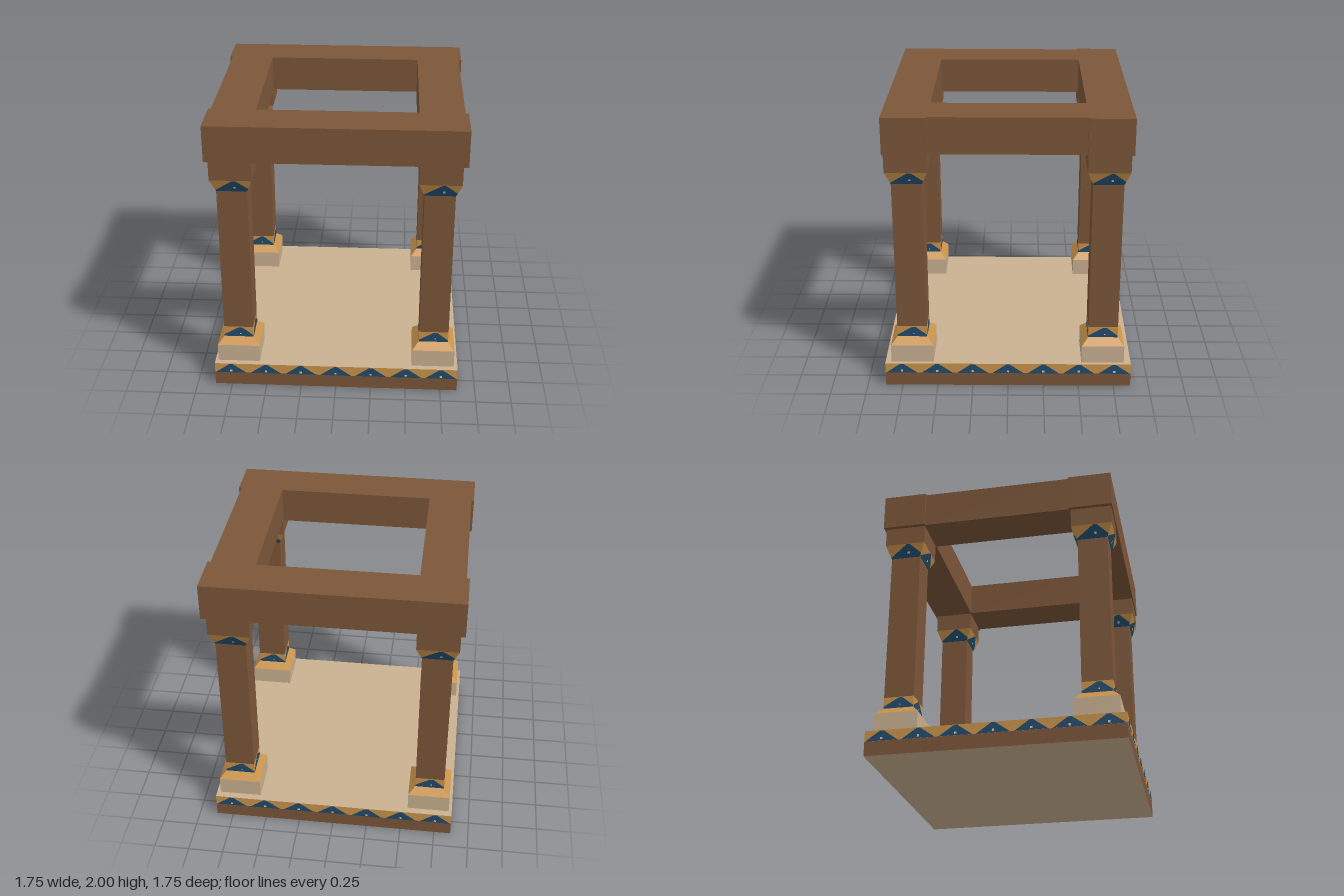
import * as THREE from 'three';

const mat = (name, color) => {
  const m = new THREE.MeshStandardMaterial({ color });
  m.name = name;
  return m;
};

export function createModel() {
  const wood = mat('brown wood', 0x7c5639);
  const stone = mat('tan stone', 0xcab191);
  const ochre = mat('ochre paint', 0xcb944a);
  const navy = mat('navy paint', 0x224b6d);
  const cream = mat('cream dots', 0xd9c9a4);

  const model = new THREE.Group();
  model.name = 'pavilion';

  const add = (parent, name, geo, material) => {
    const mesh = new THREE.Mesh(geo, material);
    mesh.name = name;
    parent.add(mesh);
    return mesh;
  };

  // Box given by its lower and upper corners
  const box = (parent, name, [x0, y0, z0], [x1, y1, z1], material) => {
    const mesh = add(parent, name, new THREE.BoxGeometry(x1 - x0, y1 - y0, z1 - z0), material);
    mesh.position.set((x0 + x1) / 2, (y0 + y1) / 2, (z0 + z1) / 2);
    return mesh;
  };

  // Square block whose half width goes from h0 at y0 to h1 at y1
  const block = (parent, name, h0, y0, h1, y1, material) => {
    const geo = new THREE.CylinderGeometry(h1 * Math.SQRT2, h0 * Math.SQRT2, y1 - y0, 4)
      .rotateY(Math.PI / 4).toNonIndexed();
    geo.computeVertexNormals();
    add(parent, name, geo, material).position.y = (y0 + y1) / 2;
  };

  // Flat painted shape laid on all four sides, following the side's slope
  const paint = (parent, name, points, depthAt, lift, material) => {
    const shape = new THREE.Shape(points.map(([x, y]) => new THREE.Vector2(x, y)));
    const geo = new THREE.ShapeGeometry(shape);
    const p = geo.attributes.position;
    for (let i = 0; i < p.count; i++) p.setZ(i, depthAt(p.getY(i)) + lift);
    geo.computeVertexNormals();
    for (let k = 0; k < 4; k++) add(parent, name, geo, material).rotation.y = k * Math.PI / 2;
  };
  const dot = (x, y, r) => [[x - r, y - r], [x + r, y - r], [x + r, y + r], [x - r, y + r]];

  // Platform: wooden slab, painted frieze, stone floor and underside
  const platform = new THREE.Group();
  platform.name = 'platform';
  model.add(platform);
  const half = 0.87;
  box(platform, 'baseSlab', [-half, 0, -half], [half, 0.1, half], [wood, wood, wood, stone, wood, wood]);
  box(platform, 'frieze', [-half, 0.1, -half], [half, 0.175, half], [ochre, ochre, stone, stone, ochre, ochre]);
  for (let i = -3; i <= 3; i++) {
    const x = i * 0.251;
    paint(platform, 'friezeTriangle',
      [[x - 0.112, 0.1], [x + 0.112, 0.1], [x + 0.012, 0.172], [x - 0.012, 0.172]], () => half, 0.002, navy);
    paint(platform, 'friezeDot', dot(x, 0.117, 0.008), () => half, 0.004, cream);
  }

  // Four columns
  const w = 0.104;
  for (const x of [-0.698, 0.693]) {
    for (const z of [0.677, -0.67]) {
      const column = new THREE.Group();
      column.name = 'column';
      column.position.set(x, 0, z);
      model.add(column);

      block(column, 'plinth', 0.15, 0.175, 0.15, 0.305, stone);
      block(column, 'footMoulding', 0.15, 0.305, w, 0.355, ochre);
      block(column, 'footBand', w, 0.355, w, 0.435, ochre);
      paint(column, 'footTriangle',
        [[-w, 0.355], [w, 0.355], [w, 0.367], [0.025, 0.43], [0, 0.43], [-w, 0.369]], () => w, 0.002, navy);
      paint(column, 'footDot', dot(0.012, 0.379, 0.005), () => w, 0.004, cream);

      block(column, 'shaft', w, 0.435, w, 1.515, wood);

      // Flared capital with a triangle running round the corners
      const flare = y => w + (y - 1.515) / 0.095 * (0.143 - w);
      block(column, 'capital', w, 1.515, 0.143, 1.61, ochre);
      paint(column, 'capitalTriangle',
        [[-w, 1.515], [w, 1.515], [flare(1.54), 1.54], [0.035, 1.607], [0.012, 1.607], [-flare(1.525), 1.525]],
        flare, 0.002, navy);
      paint(column, 'capitalDot', dot(0.024, 1.549, 0.008), flare, 0.004, cream);

      block(column, 'bearingBlock', 0.143, 1.61, 0.143, 1.745, wood);
    }
  }

  // Top frame: long front and back beams with side beams set between them
  const frame = new THREE.Group();
  frame.name = 'topFrame';
  model.add(frame);
  box(frame, 'frontBeam', [-half, 1.745, 0.522], [half, 2, 0.827], wood);
  box(frame, 'backBeam', [-half, 1.745, -0.827], [half, 2, -0.522], wood);
  box(frame, 'rightBeam', [-0.851, 1.745, -0.522], [-0.547, 2, 0.522], wood);
  box(frame, 'leftBeam', [0.543, 1.745, -0.522], [0.849, 2, 0.522], wood);

  return model;
}
